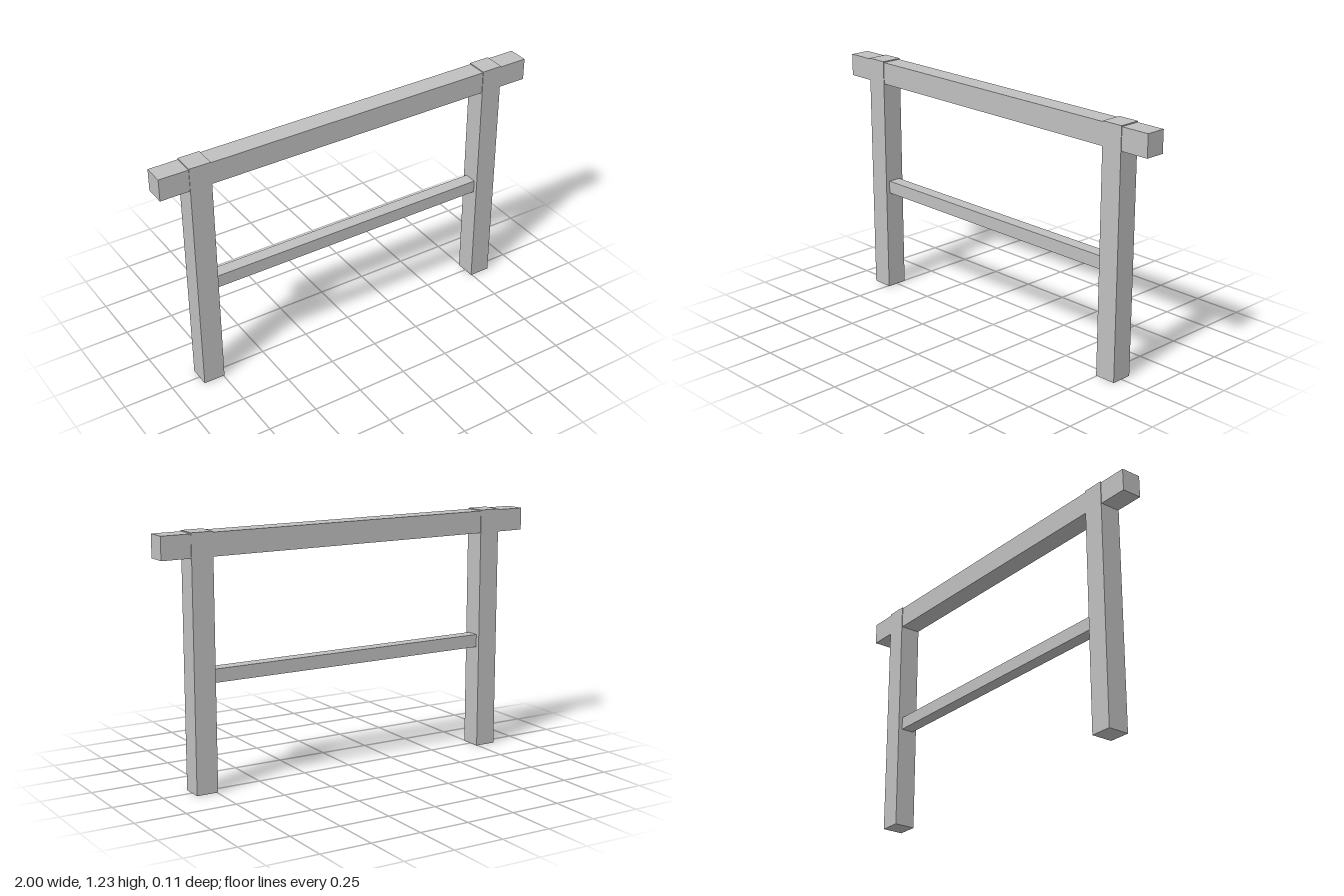
import * as THREE from 'three';

export function createModel() {
  const model = new THREE.Group();
  model.name = 'railFrame';
  const grey = new THREE.MeshStandardMaterial({ color: 0xc0c0c0 });
  grey.name = 'plain grey';

  // Box spanning the given height range, centred on z = 0
  function timber(name, width, bottom, top, depth, x = 0) {
    const mesh = new THREE.Mesh(new THREE.BoxGeometry(width, top - bottom, depth), grey);
    mesh.name = name;
    mesh.position.set(x, (bottom + top) / 2, 0);
    model.add(mesh);
  }

  // Upright posts, slightly proud of the top beam
  const postX = 0.799, postWidth = 0.108;
  timber('leftPost', postWidth, 0, 1.225, 0.108, postX);
  timber('rightPost', postWidth, 0, 1.225, 0.108, -postX);

  // Top beam overhanging both posts
  timber('topBeam', 2, 1.109, 1.22, 0.102);

  // Thin rail between the posts
  timber('middleRail', 2 * postX - postWidth, 0.52, 0.585, 0.066);

  return model;
}
